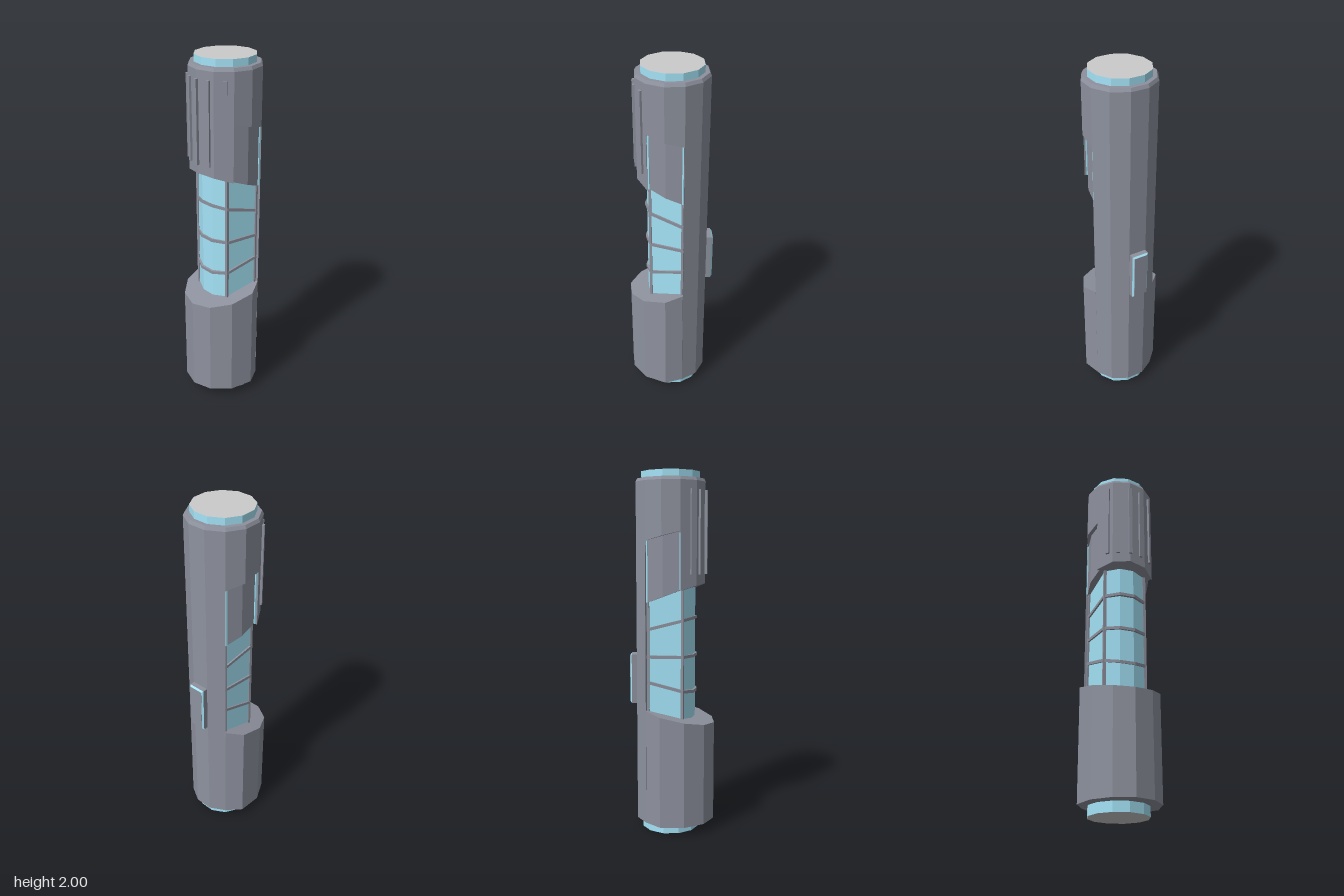
import * as THREE from 'three';

const CX = 0.0125, R = 0.196;
const mat = (color) => new THREE.MeshStandardMaterial({ color, flatShading: true });

export function createModel() {
  const model = new THREE.Group();
  const metal = mat(0x8e929e), teal = mat(0xa4e4f8), grey = mat(0xcccccc);

  const add = (name, geometry, material, x = 0, y = 0, z = 0, ry = 0) => {
    const mesh = new THREE.Mesh(geometry, material);
    mesh.name = name;
    mesh.position.set(x, y, z);
    mesh.rotation.y = ry;
    model.add(mesh);
    return mesh;
  };

  // Point on the twelve-sided body, in degrees from +x towards +z
  const ring = (deg) => {
    const a = THREE.MathUtils.degToRad(deg);
    return [CX + R * Math.cos(a), R * Math.sin(a)];
  };
  // Close an outline by mirroring its +z half
  const mirrored = (half) =>
    [...half, ...half.filter((p) => Math.abs(p[1]) > 1e-4).map(([x, z]) => [x, -z]).reverse()];
  // Upright prism whose bottom and top heights may slant along x
  const prism = (outline, bottom, top) => {
    const shape = new THREE.Shape(outline.map(([x, z]) => new THREE.Vector2(x, -z)));
    const g = new THREE.ExtrudeGeometry(shape, { depth: 1, bevelEnabled: false });
    g.rotateX(-Math.PI / 2);
    const p = g.attributes.position;
    for (let i = 0; i < p.count; i++) {
      const x = p.getX(i);
      p.setY(i, p.getY(i) > 0.5 ? top(x) : bottom(x));
    }
    g.computeVertexNormals();
    return g;
  };
  const line = (y, slope = 0) => (x) => y + slope * (x - CX);

  // End caps: coloured sides, plain discs
  for (const [name, y] of [['bottomCap', 0.05], ['topCap', 1.95]])
    add(name, new THREE.CylinderGeometry(0.164, 0.164, 0.1, 12), [teal, grey, grey], CX, y, 0);

  // Spine running the full height on the left
  add('spine', prism([-60, -30, 0, 30, 60].map(ring), line(0.055), line(1.945)), metal);

  // Swollen lower grip with a sloping shoulder
  const grip = mirrored([[0.109, 0.17], [0.018, 0.221], [-0.113, 0.193], [-0.206, 0.11], [-0.24, 0]]);
  add('lowerGrip', prism(grip, line(0.055), line(0.678, 0.234)), metal);

  // Upper shell: long rear part, shorter middle, bevelled rim
  add('upperShellRear', prism([120, 150, 180, 210, 240].map(ring), line(1.33, -0.36), line(1.945)), metal);
  add('upperShellMiddle', prism([60, 90, 120, 240, 270, 300].map(ring), line(1.655, -0.26), line(1.945)), metal);
  add('upperRim', new THREE.CylinderGeometry(0.187, R, 0.017, 12), metal, CX, 1.9535, 0);

  // Recessed panels under the upper shell
  const panel = mirrored([[0.108, 0.162], [CX, 0.174], [-0.0853, 0.15]]);
  add('recessedPanels', prism(panel, line(1.332, -0.38), line(1.66, -0.26)), metal);

  // Exposed core
  const core = mirrored([[0.105, 0.15], [-0.084, 0.118], [-0.12, 0.04]]);
  add('core', prism(core, line(0.6), line(1.5)), teal);

  // Hoops around the core, fanning out towards the rear
  const hoop = mirrored([[0.107, 0.159], [-0.087, 0.127], [-0.13, 0.044]]);
  for (const [y, slope] of [[1.166, -0.26], [0.992, 0], [0.827, 0.26]])
    add('coreHoop', prism(hoop, line(y, slope), line(y + 0.017, slope)), metal);

  // Upright ribs on the core and coloured edges beside the panels
  for (const s of [1, -1]) {
    add('coreRib', new THREE.BoxGeometry(0.014, 0.78, 0.016), metal, -0.084, 1.02, s * 0.118);
    add('coreEdgeRib', new THREE.BoxGeometry(0.012, 0.65, 0.016), metal, 0.1, 0.985, s * 0.15);
    add('panelRearEdge', new THREE.BoxGeometry(0.009, 0.305, 0.02), teal, -0.081, 1.52, s * 0.15);
    add('panelFrontEdge', new THREE.BoxGeometry(0.008, 0.33, 0.014), teal, 0.102, 1.465, s * 0.161);
  }

  // Raised grip bars on the rear of the upper shell
  for (const deg of [133, 159, 180, 201, 219]) {
    const a = THREE.MathUtils.degToRad(deg);
    const turn = THREE.MathUtils.degToRad(Math.floor(deg / 30) * 30 + 15);
    const facing = deg === 180 ? Math.PI : turn;
    const r = deg === 180 ? R : R * Math.cos(Math.PI / 12) / Math.cos(a - turn);
    add('gripBar', new THREE.BoxGeometry(0.024, 0.45, 0.02), metal,
      CX + r * Math.cos(a), 1.675, r * Math.sin(a), -facing);
  }

  // Push button on the spine: block, coloured bevel, face plate
  const button = new THREE.Group();
  button.name = 'button';
  button.position.set(CX, 0.865, 0);
  button.rotation.y = Math.PI / 12;
  const bevel = new THREE.BoxGeometry(0.008, 0.275, 0.097);
  const bp = bevel.attributes.position;
  for (let i = 0; i < bp.count; i++)
    if (bp.getX(i) > 0) bp.setXYZ(i, bp.getX(i), bp.getY(i) * 0.94, bp.getZ(i) * 0.82);
  const pieces = [
    ['buttonBlock', new THREE.BoxGeometry(0.04, 0.275, 0.097), metal, 0.198],
    ['buttonBevel', bevel, teal, 0.222],
    ['buttonFace', new THREE.BoxGeometry(0.004, 0.258, 0.079), metal, 0.2255],
  ];
  for (const [name, g, m, x] of pieces) {
    const mesh = new THREE.Mesh(g, m);
    mesh.name = name;
    mesh.position.x = x;
    button.add(mesh);
  }
  model.add(button);

  return model;
}
